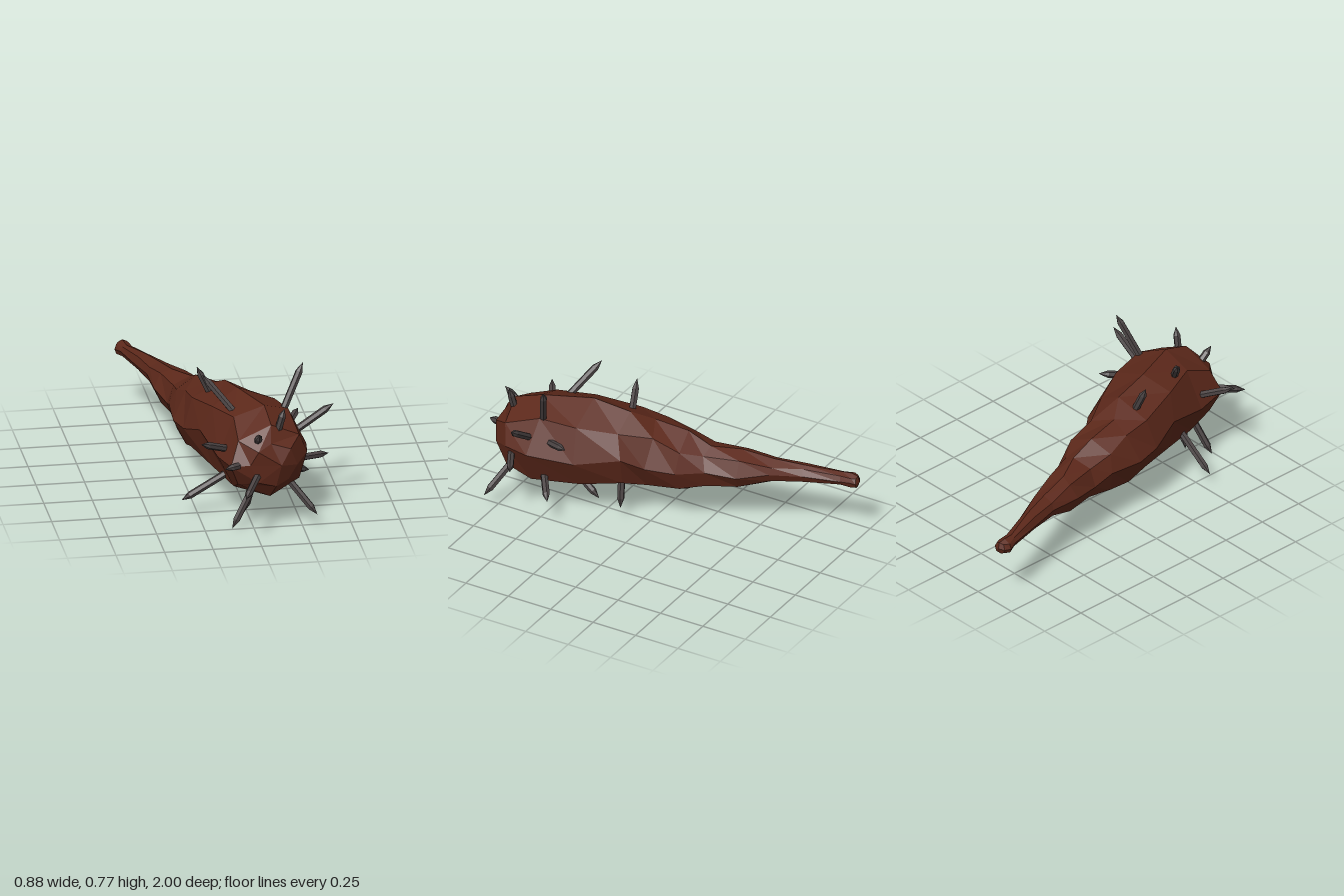
import * as THREE from 'three';

const SIDES = 8;

// Club cross-sections: [z, xMin, xMax, yMin, yMax], from the grip to the head
const SECTIONS = [
  [-0.985, -0.43, -0.365, 0.3, 0.365],
  [-0.955, -0.442, -0.358, 0.29, 0.373],
  [-0.9, -0.42, -0.35, 0.3, 0.37],
  [-0.72, -0.375, -0.275, 0.295, 0.39],
  [-0.57, -0.34, -0.205, 0.28, 0.405],
  [-0.41, -0.33, -0.125, 0.225, 0.43],
  [-0.25, -0.29, -0.06, 0.21, 0.445],
  [-0.13, -0.297, 0.01, 0.17, 0.5],
  [0.03, -0.305, 0.055, 0.16, 0.525],
  [0.16, -0.275, 0.13, 0.155, 0.58],
  [0.36, -0.22, 0.23, 0.14, 0.617],
  [0.58, -0.165, 0.3, 0.13, 0.61],
  [0.74, -0.125, 0.285, 0.175, 0.56],
  [0.81, -0.03, 0.22, 0.25, 0.48],
];

// Spikes: [base x, y, z, tip x, y, z]
const SPIKES = [
  [0.19, 0.55, 0.52, 0.3, 0.775, 0.455],
  [0.255, 0.46, 0.57, 0.44, 0.585, 0.565],
  [0.23, 0.445, 0.45, 0.295, 0.475, 0.33],
  [0.275, 0.34, 0.66, 0.41, 0.325, 0.59],
  [0.23, 0.22, 0.49, 0.34, 0.165, 0.41],
  [0.21, 0.21, 0.72, 0.32, 0.075, 0.795],
  [0.03, 0.19, 0.155, 0.065, 0.07, 0.14],
  [0.02, 0.16, 0.41, 0.03, 0.063, 0.285],
  [0, 0.17, 0.64, -0.03, 0.045, 0.63],
  [-0.01, 0.18, 0.7, -0.11, 0.003, 0.74],
  [-0.13, 0.21, 0.53, -0.335, 0.085, 0.52],
  [0.02, 0.32, 0.79, -0.08, 0.265, 0.997],
  [-0.05, 0.365, 0.77, -0.165, 0.375, 0.85],
  [-0.14, 0.415, 0.66, -0.27, 0.475, 0.74],
  [-0.08, 0.57, 0.51, -0.21, 0.72, 0.41],
  [-0.145, 0.55, 0.19, -0.205, 0.68, 0.2],
  [0.015, 0.49, 0.78, 0.015, 0.55, 0.85],
  [0.135, 0.55, 0.73, 0.16, 0.645, 0.74],
];

// Faceted, slightly irregular wooden body lofted through the sections
function clubGeometry() {
  const pos = [], index = [];
  SECTIONS.forEach(([z, x0, x1, y0, y1], i) => {
    const cx = (x0 + x1) / 2, cy = (y0 + y1) / 2;
    for (let j = 0; j < SIDES; j++) {
      const a = (j / SIDES) * Math.PI * 2 + 0.12 * Math.sin(i * 2.3 + j * 1.7);
      const dx = Math.cos(a) * (x1 - x0) / 2;
      const dy = Math.sin(a) * (y1 - y0) / 2;
      const carve = (x1 - x0) * 0.05 * Math.sin(i * 1.9 + j * 2.6);
      pos.push(cx + dx, cy + dy, z - dx * 0.18 + carve); // rings lean with the axis
    }
  });
  const rings = SECTIONS.length;
  const tail = rings * SIDES, nose = tail + 1, last = (rings - 1) * SIDES;
  pos.push(-0.4, 0.333, -0.998, 0.13, 0.37, 0.835);
  for (let j = 0; j < SIDES; j++) {
    const k = (j + 1) % SIDES;
    for (let i = 0; i < rings - 1; i++) {
      const a = i * SIDES + j, b = i * SIDES + k;
      index.push(a, b, b + SIDES, a, b + SIDES, a + SIDES);
    }
    index.push(tail, k, j, nose, last + j, last + k);
  }
  const geo = new THREE.BufferGeometry();
  geo.setAttribute('position', new THREE.Float32BufferAttribute(pos, 3));
  geo.setIndex(index);
  const flat = geo.toNonIndexed();
  flat.computeVertexNormals();
  return flat;
}

// Six-sided spike: a straight shaft sunk into the wood, with a short point
function spikeGeometry(length) {
  const sunk = 0.04, point = Math.min(0.05, length * 0.45), r = 0.019;
  const profile = [
    [0, -sunk], [r, -sunk], [r, length - point], [0, length],
  ].map(([x, y]) => new THREE.Vector2(x, y));
  return new THREE.LatheGeometry(profile, 6);
}

export function createModel() {
  const model = new THREE.Group();
  model.name = 'spikedClub';
  const wood = new THREE.MeshStandardMaterial({ color: 0x5c281a, flatShading: true });
  const iron = new THREE.MeshStandardMaterial({ color: 0x4a4343, flatShading: true });

  const club = new THREE.Mesh(clubGeometry(), wood);
  club.name = 'club';
  model.add(club);

  const spikes = new THREE.Group();
  spikes.name = 'spikes';
  const up = new THREE.Vector3(0, 1, 0);
  for (const [bx, by, bz, tx, ty, tz] of SPIKES) {
    const base = new THREE.Vector3(bx, by, bz);
    const dir = new THREE.Vector3(tx, ty, tz).sub(base);
    const spike = new THREE.Mesh(spikeGeometry(dir.length()), iron);
    spike.name = 'spike';
    spike.position.copy(base);
    spike.quaternion.setFromUnitVectors(up, dir.normalize());
    spikes.add(spike);
  }
  model.add(spikes);
  return model;
}
